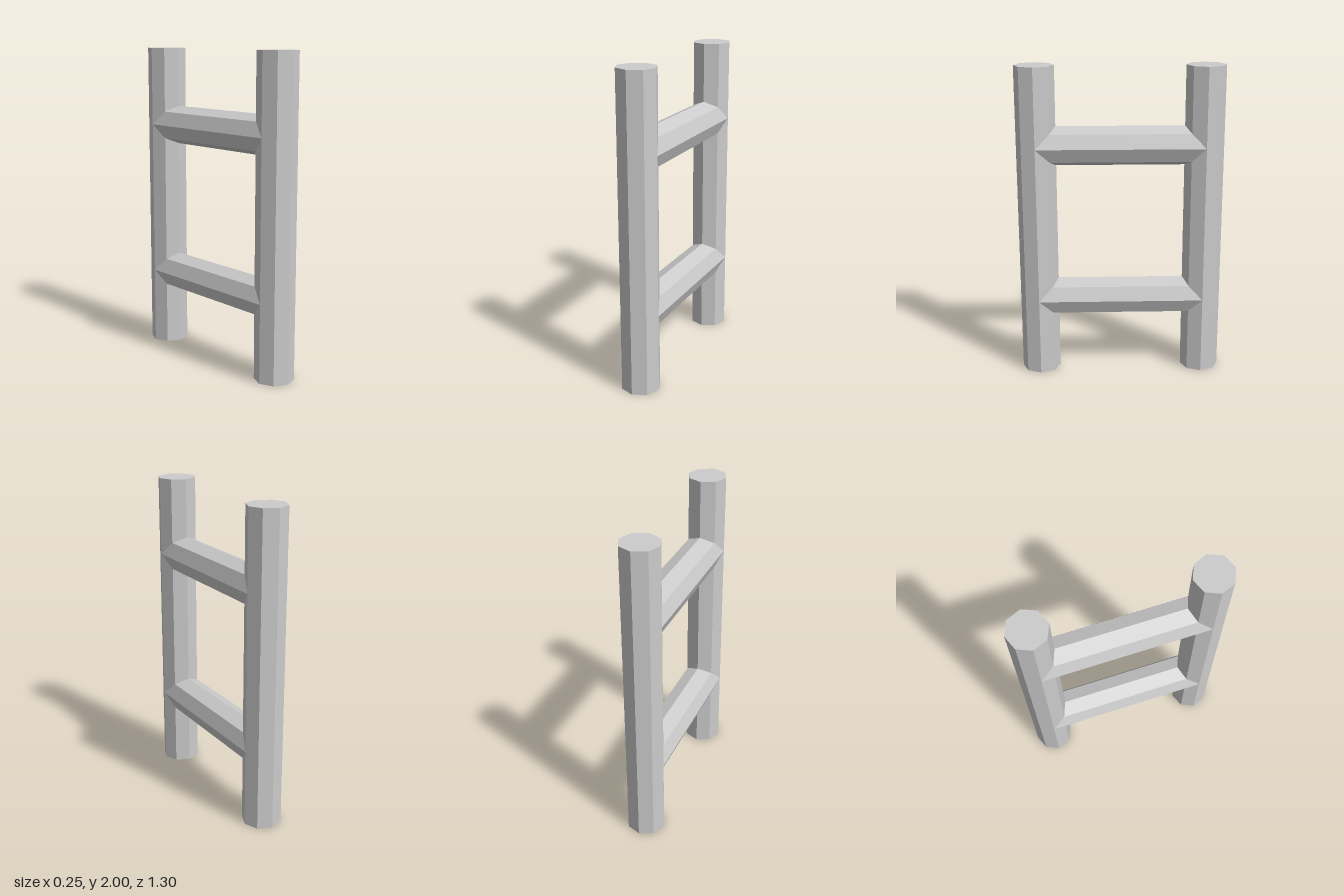
import * as THREE from 'three';

const R = 0.124;        // radius of posts and rungs
const POST_Z = 0.526;   // post centre distance from the middle
const HEIGHT = 2;
const SIDES = 8;

const material = new THREE.MeshStandardMaterial({ color: 0xcccccc, flatShading: true });

// Octagonal rung along z, each end coped to meet the faces of its post
function rungGeometry() {
  const geometry = new THREE.CylinderGeometry(R, R, 2 * POST_Z, SIDES, 1, true);
  geometry.rotateX(Math.PI / 2);
  const p = geometry.attributes.position;
  for (let i = 0; i < p.count; i++) {
    const x = p.getX(i);
    const inset = Math.sqrt(Math.max(0, R * R - x * x));
    p.setZ(i, Math.sign(p.getZ(i)) * (POST_Z - inset));
  }
  geometry.computeVertexNormals();
  return geometry;
}

export function createModel() {
  const group = new THREE.Group();
  group.name = 'ladder';

  const add = (name, geometry, y, z) => {
    const mesh = new THREE.Mesh(geometry, material);
    mesh.name = name;
    mesh.position.set(0, y, z);
    group.add(mesh);
  };

  // Upright posts, front and back
  const post = new THREE.CylinderGeometry(R, R, HEIGHT, SIDES);
  add('frontPost', post, HEIGHT / 2, POST_Z);
  add('backPost', post, HEIGHT / 2, -POST_Z);

  // Two rungs joining the posts
  const rung = rungGeometry();
  add('lowerRung', rung, 0.5, 0);
  add('upperRung', rung, 1.5, 0);

  return group;
}
